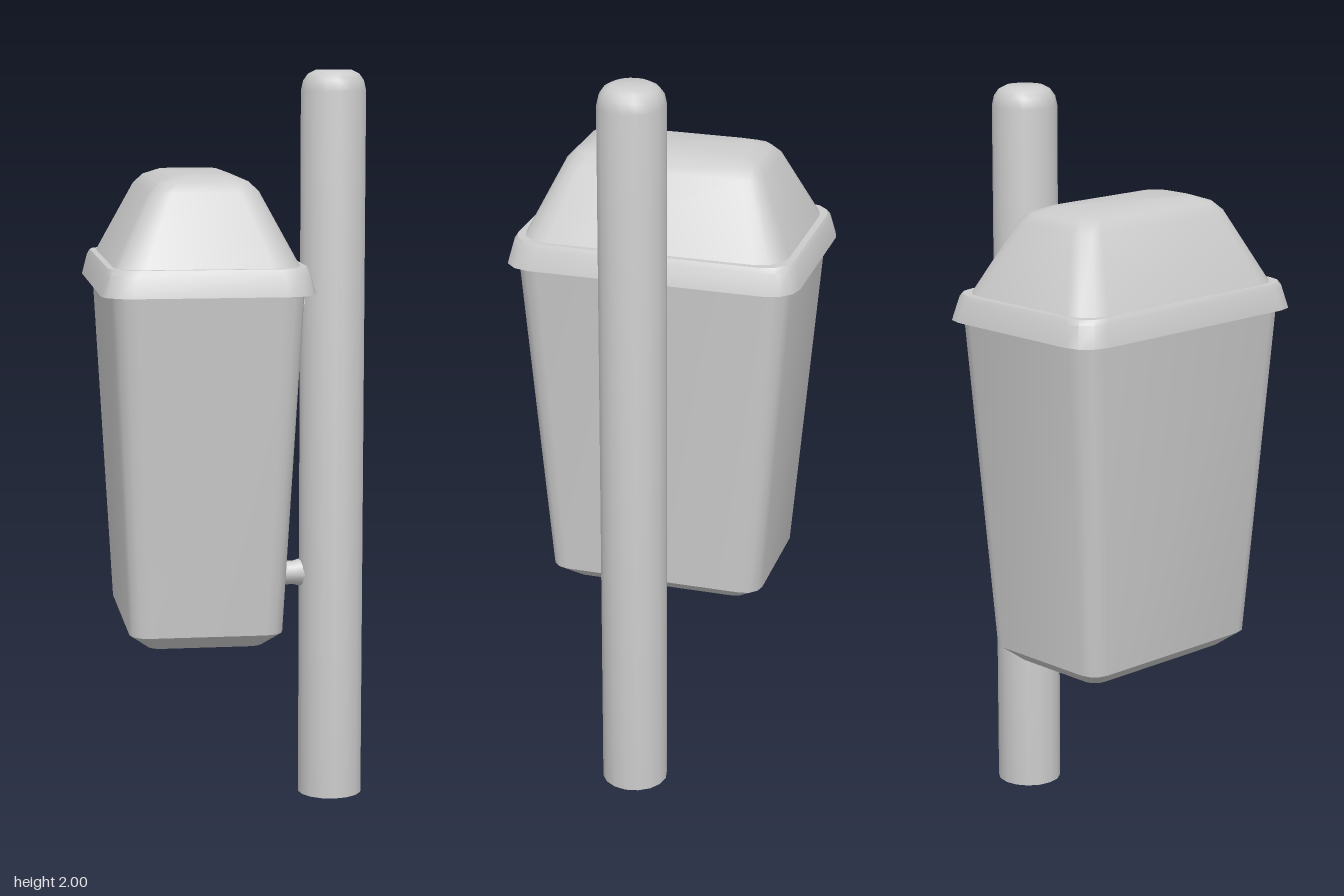
import * as THREE from 'three';
import { mergeGeometries, toCreasedNormals } from 'three/addons/utils/BufferGeometryUtils.js';

const BIN_X = -0.095, SEG = 3;
const solid = new THREE.MeshStandardMaterial({ color: 0xcccccc });
const shell = new THREE.MeshStandardMaterial({ color: 0xcccccc, side: THREE.DoubleSide });

// Rounded rectangle in the horizontal plane
function ring([y, hx, hz, r]) {
  const pts = [];
  [[1, 1], [-1, 1], [-1, -1], [1, -1]].forEach(([sx, sz], k) => {
    for (let i = 0; i <= SEG; i++) {
      const a = (k + i / SEG) * Math.PI / 2;
      pts.push(new THREE.Vector3(
        BIN_X + sx * (hx - r) + r * Math.cos(a), y, sz * (hz - r) + r * Math.sin(a)));
    }
  });
  return pts;
}

// Skin over stacked rings; skip(level, side) leaves a wall out
function loft(profile, skip = () => false) {
  const pos = [];
  const tri = (a, b, c) => {
    const area = b.clone().sub(a).cross(c.clone().sub(a)).length();
    if (area > 1e-9) pos.push(...a, ...b, ...c);
  };
  const rings = profile.map(ring);
  for (let l = 0; l < rings.length - 1; l++) {
    const A = rings[l], B = rings[l + 1];
    for (let i = 0; i < A.length; i++) {
      if (skip(l, i)) continue;
      const j = (i + 1) % A.length;
      tri(A[i], B[i], A[j]);
      tri(A[j], B[i], B[j]);
    }
  }
  const g = new THREE.BufferGeometry();
  g.setAttribute('position', new THREE.Float32BufferAttribute(pos, 3));
  return g;
}

function add(group, name, geometry, material) {
  const mesh = new THREE.Mesh(geometry, material);
  mesh.name = name;
  group.add(mesh);
  return mesh;
}

// Lid hood with a slot cut through its sloping -x wall
function lidGeometry() {
  const profile = [
    [1.5, 0.243, 0.36, 0.075], [1.69, 0.145, 0.27, 0.055], [1.715, 0.12, 0.247, 0.05],
    [1.73, 0.08, 0.205, 0.04], [1.73, 0, 0, 0],
  ];
  const wall = 2 * (SEG + 1) - 1;
  const hood = loft(profile, (l, i) => l === 0 && i === wall);

  const [lo, hi] = profile;
  const slopeX = y => BIN_X - THREE.MathUtils.mapLinear(y, lo[0], hi[0], lo[1], hi[1]);
  const v = (z, y) => new THREE.Vector2(z, y);
  const zLo = lo[2] - lo[3], zHi = hi[2] - hi[3];
  const hole = [v(-0.27, 1.545), v(0.27, 1.545), v(0.205, 1.67), v(-0.205, 1.67)];
  const shape = new THREE.Shape([v(-zLo, lo[0]), v(zLo, lo[0]), v(zHi, hi[0]), v(-zHi, hi[0])]);
  shape.holes.push(new THREE.Path(hole));
  const panel = new THREE.ShapeGeometry(shape).toNonIndexed();
  const p = panel.attributes.position;
  for (let i = 0; i < p.count; i++) {
    const z = p.getX(i), y = p.getY(i);
    p.setXYZ(i, slopeX(y), y, z);
  }
  panel.deleteAttribute('uv');
  panel.deleteAttribute('normal');

  // Thickness around the slot
  const jamb = [];
  hole.forEach((a, i) => {
    const b = hole[(i + 1) % 4];
    const out = q => [slopeX(q.y), q.y, q.x];
    const inn = q => [slopeX(q.y) + 0.02, q.y - 0.01, q.x];
    jamb.push(...out(a), ...out(b), ...inn(a), ...out(b), ...inn(b), ...inn(a));
  });
  const jambGeo = new THREE.BufferGeometry();
  jambGeo.setAttribute('position', new THREE.Float32BufferAttribute(jamb, 3));
  return toCreasedNormals(mergeGeometries([hood, panel, jambGeo]), 0.75);
}

export function createModel() {
  const model = new THREE.Group();
  model.name = 'postMountedLitterBin';

  // Tapered bin, open at the top inside the lid
  const bin = new THREE.Group();
  bin.name = 'bin';
  model.add(bin);
  add(bin, 'body', toCreasedNormals(loft([
    [0.48, 0, 0, 0], [0.48, 0.155, 0.25, 0.035], [0.52, 0.205, 0.3, 0.05],
    [1.45, 0.2525, 0.375, 0.065],
  ]), 0.6), shell);

  // Overhanging collar
  add(bin, 'rim', toCreasedNormals(loft([
    [1.445, 0.25, 0.372, 0.065], [1.43, 0.28, 0.4, 0.078], [1.487, 0.266, 0.386, 0.075],
    [1.5, 0.259, 0.378, 0.075], [1.5, 0.243, 0.36, 0.075],
  ]), 0.6), shell);
  add(bin, 'lid', lidGeometry(), shell);

  // Post with a domed top
  const v = (r, y) => new THREE.Vector2(r, y);
  const post = add(model, 'post', toCreasedNormals(new THREE.LatheGeometry([
    v(0, 0), v(0.089, 0), v(0.089, 1.945), v(0.083, 1.972), v(0.07, 1.99), v(0.05, 2), v(0, 2),
  ], 16), 0.7), solid);
  post.position.x = 0.283;

  // Waisted brackets between bin and post
  [[0.625, 0.09], [1.375, 0.13]].forEach(([y, x0]) => {
    const len = 0.225 - x0;
    const bracket = add(model, 'bracket', toCreasedNormals(new THREE.LatheGeometry([
      v(0.04, 0), v(0.033, len * 0.3), v(0.033, len * 0.65), v(0.046, len),
    ], 10), 0.7), shell);
    bracket.rotation.z = -Math.PI / 2;
    bracket.position.set(x0, y, 0);
  });

  return model;
}
